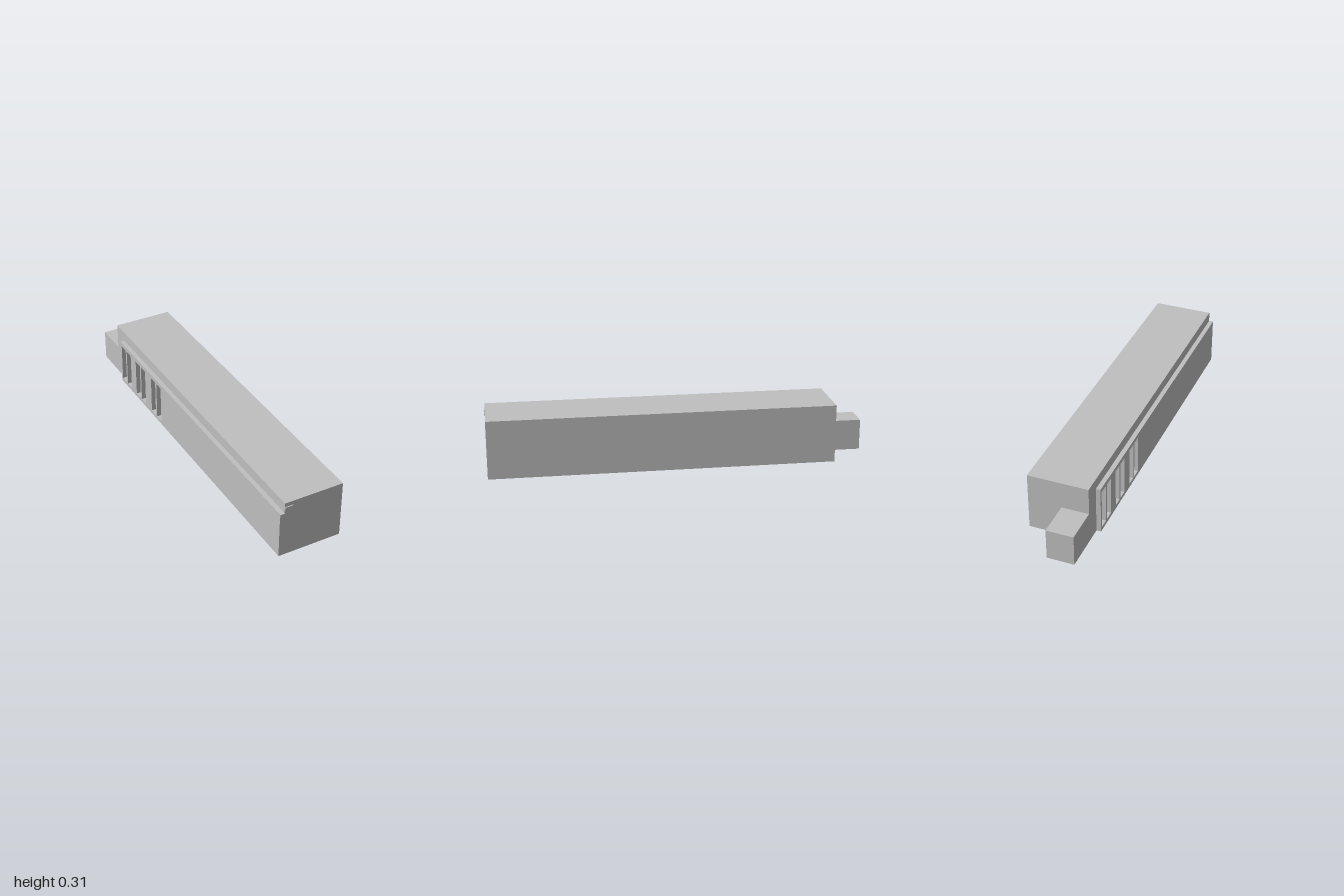
import * as THREE from 'three';

const grey = new THREE.MeshStandardMaterial({ color: 0xbfbfbf });
grey.name = 'plain grey';

export function createModel() {
  const model = new THREE.Group();
  model.name = 'longBuilding';

  // Box given by its low and high corners
  function block(name, x0, x1, y0, y1, z0, z1) {
    const mesh = new THREE.Mesh(new THREE.BoxGeometry(x1 - x0, y1 - y0, z1 - z0), grey);
    mesh.position.set((x0 + x1) / 2, (y0 + y1) / 2, (z0 + z1) / 2);
    mesh.name = name;
    model.add(mesh);
  }

  const side = -0.147, outer = -0.171;
  block('mainHall', side, 0.17, 0, 0.308, -0.815, 0.995);
  block('rearAnnex', side, -0.005, 0, 0.165, -1, -0.815);

  // Side facade with three pairs of tall recessed windows, drawn in (z, y)
  const rect = (Type, z0, z1, y0, y1) => new Type([
    new THREE.Vector2(z0, y0), new THREE.Vector2(z1, y0),
    new THREE.Vector2(z1, y1), new THREE.Vector2(z0, y1),
  ]);
  const facade = rect(THREE.Shape, -0.728, 0.995, 0, 0.253);
  for (const start of [-0.715, -0.535, -0.345]) {
    for (const z of [start, start + 0.065]) {
      facade.holes.push(rect(THREE.Path, z, z + 0.052, 0.02, 0.23));
    }
  }
  const facadeGeometry = new THREE.ExtrudeGeometry(facade, { depth: side - outer, bevelEnabled: false });
  facadeGeometry.rotateY(-Math.PI / 2);
  const facadeMesh = new THREE.Mesh(facadeGeometry, grey);
  facadeMesh.position.x = side;
  facadeMesh.name = 'windowedFacade';
  model.add(facadeMesh);

  // Small ledges on the front corner
  block('lowerFrontLedge', outer, side, 0.238, 0.253, 0.995, 1);
  block('upperFrontLedge', side, -0.102, 0.271, 0.286, 0.995, 1);

  return model;
}
